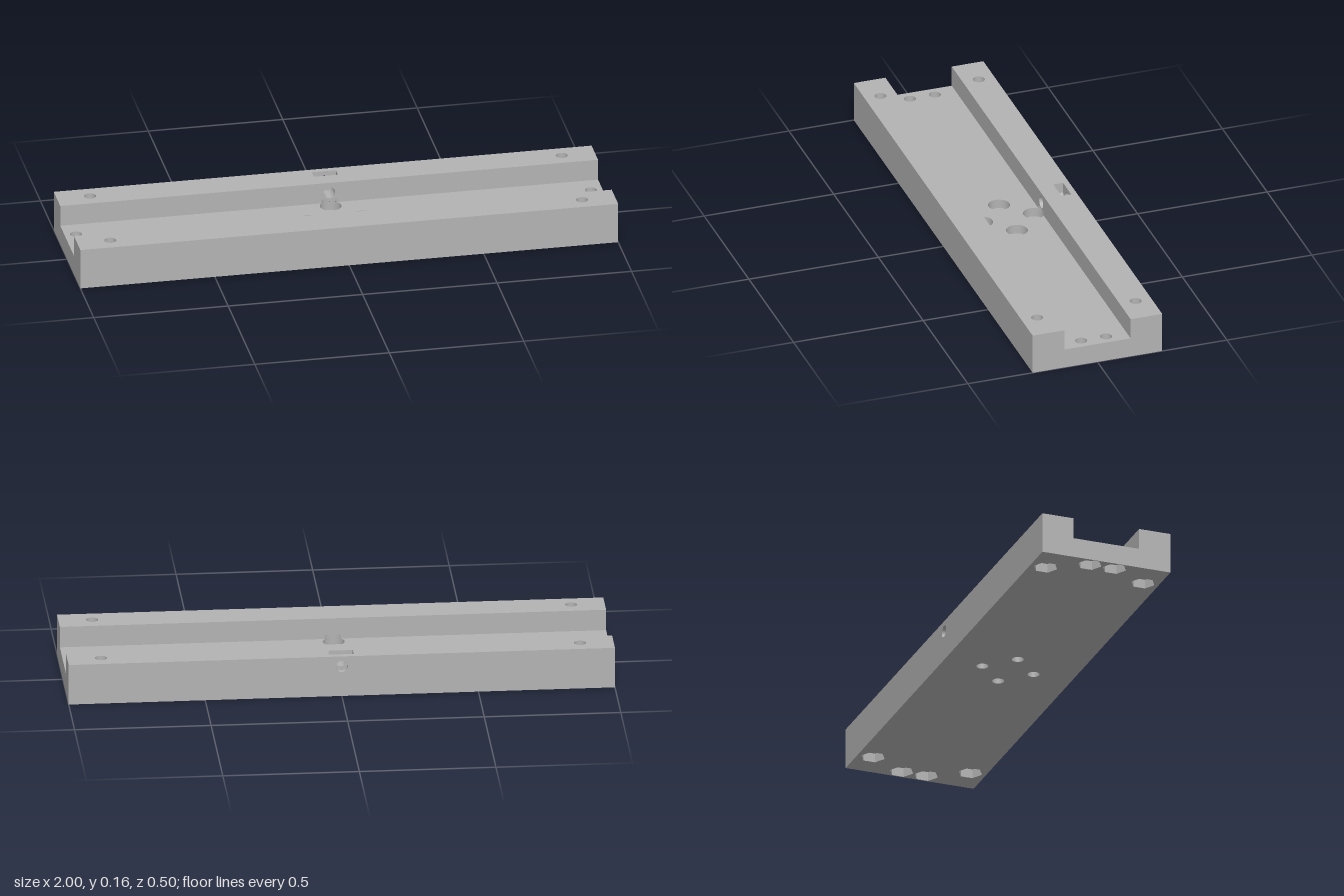
import * as THREE from 'three';
import { mergeGeometries } from 'three/addons/utils/BufferGeometryUtils.js';

// Main sizes
const LEN = 1, HALF = 0.25, INNER = 0.128, TOP = 0.155, FLOOR = 0.075;
const R = 0.022, BORE_R = 0.04, NUT_R = 0.045;
const NUT_Y = 0.035, BORE_Y = 0.04, NOTCH_Y = 0.09;
const SCREW_Y = 0.115, SLOT_BACK = -0.228, SLOT_FRONT = -0.19;
const NOTCH_A = Math.acos((INNER - 0.1) / BORE_R);
const NOTCH_X = BORE_R * Math.sin(NOTCH_A);

// Hole positions [x, z]
const railHoles = [[-0.877, -0.19], [0.877, -0.19], [-0.877, 0.19], [0.877, 0.19]];
const endHoles = [[-0.957, -0.048], [-0.957, 0.048], [0.957, -0.048], [0.957, 0.048]];
const centreHoles = [[-0.1, 0], [0.1, 0], [0, -0.1], [0, 0.1]];
const nutHoles = [...railHoles, ...endHoles];

// Points on an arc; angle 0 points along the second axis
function arc(cx, cy, r, from, to, n) {
  return Array.from({ length: n + 1 }, (_, i) => {
    const t = from + (to - from) * i / n;
    return [cx + r * Math.sin(t), cy + r * Math.cos(t)];
  });
}
const ring = ([x, y], r, n = 32) => arc(x, y, r, 0, Math.PI * 2, n).slice(0, -1);
const rect = (x0, y0, x1, y1) => [[x0, y0], [x1, y0], [x1, y1], [x0, y1]];

// Flat face with holes, in the plane facing +z
function flat(outline, holes = []) {
  const vec = (list) => list.map(([x, y]) => new THREE.Vector2(x, y));
  const shape = new THREE.Shape(vec(outline));
  shape.holes = holes.map((h) => new THREE.Path(vec(h)));
  return new THREE.ShapeGeometry(shape).toNonIndexed();
}
const flip = (list) => list.map(([x, y]) => [x, -y]);
const mirror = (list) => list.map(([x, y]) => [-x, y]);
const up = (o, h, y) => flat(flip(o), (h || []).map(flip)).rotateX(-Math.PI / 2).translate(0, y, 0);
const down = (o, h, y) => flat(o, h).rotateX(Math.PI / 2).translate(0, y, 0);
const front = (o, h, z) => flat(o, h).translate(0, 0, z);
const back = (o, h, z) => flat(mirror(o), (h || []).map(mirror)).rotateY(Math.PI).translate(0, 0, z);

// Inward-facing wall of a vertical hole
function bore([x, z], r, y0, y1, n = 32, start = 0, sweep = Math.PI * 2) {
  let g = new THREE.CylinderGeometry(r, r, y1 - y0, n, 1, true, start, sweep);
  const idx = g.index.array;
  for (let i = 0; i < idx.length; i += 3) [idx[i], idx[i + 1]] = [idx[i + 1], idx[i]];
  const nor = g.attributes.normal;
  for (let i = 0; i < nor.count; i++) nor.setXYZ(i, -nor.getX(i), 0, -nor.getZ(i));
  g = g.toNonIndexed();
  if (n === 6) g.computeVertexNormals();
  return g.translate(x, (y0 + y1) / 2, z);
}

export function createModel() {
  const group = new THREE.Group();
  const grey = new THREE.MeshStandardMaterial({ color: 0xb3b3b3 });
  const add = (name, geos) => {
    const mesh = new THREE.Mesh(mergeGeometries(geos), grey);
    mesh.name = name;
    group.add(mesh);
  };
  const screw = ring([0, SCREW_Y], R);

  // Underside with nut pockets and small centre holes
  add('underside', [down(rect(-LEN, -HALF, LEN, HALF),
    [...nutHoles.map((p) => ring(p, NUT_R, 6)), ...centreHoles.map((p) => ring(p, R))], 0)]);

  // Channel floor, its long edges cut by two of the counterbores
  const floor = [[-LEN, -INNER],
    ...arc(0, -0.1, BORE_R, Math.PI + NOTCH_A, 3 * Math.PI - NOTCH_A, 24),
    [LEN, -INNER], [LEN, INNER],
    ...arc(0, 0.1, BORE_R, NOTCH_A, 2 * Math.PI - NOTCH_A, 24),
    [-LEN, INNER]];
  add('channelFloor', [up(floor, [...endHoles.map((p) => ring(p, R)),
    ...centreHoles.slice(0, 2).map((p) => ring(p, BORE_R))], FLOOR)]);

  // Rail tops, the back one with the nut slot
  add('frontRailTop', [up(rect(-LEN, INNER, LEN, HALF),
    railHoles.slice(2).map((p) => ring(p, R)), TOP)]);
  add('backRailTop', [up(rect(-LEN, -HALF, LEN, -INNER),
    [...railHoles.slice(0, 2).map((p) => ring(p, R)),
      rect(-NUT_R, SLOT_BACK, NUT_R, SLOT_FRONT)], TOP)]);

  // Outer and inner long walls
  const side = rect(-LEN, 0, LEN, TOP);
  add('outerWalls', [front(side, [], HALF), back(side, [screw], -HALF)]);
  const inner = [[-LEN, FLOOR], [-NOTCH_X, FLOOR], [-NOTCH_X, NOTCH_Y], [NOTCH_X, NOTCH_Y],
    [NOTCH_X, FLOOR], [LEN, FLOOR], [LEN, TOP], [-LEN, TOP]];
  add('innerWalls', [front(inner, [screw], -INNER), back(inner, [], INNER)]);

  // U-shaped ends
  const profile = [[-HALF, 0], [HALF, 0], [HALF, TOP], [INNER, TOP],
    [INNER, FLOOR], [-INNER, FLOOR], [-INNER, TOP], [-HALF, TOP]];
  add('endFaces', [1, -1].map((s) =>
    flat(profile).rotateY(s * Math.PI / 2).translate(s * LEN, 0, 0)));

  // Bolt holes with hexagonal nut pockets underneath
  add('boltHoles', nutHoles.flatMap((p, i) => [
    bore(p, R, NUT_Y, i < 4 ? TOP : FLOOR),
    bore(p, NUT_R, 0, NUT_Y, 6),
    down(ring(p, NUT_R, 6), [ring(p, R)], NUT_Y)]));

  // Centre holes with counterbores from above
  add('centreHoles', centreHoles.flatMap((p) => [
    bore(p, R, 0, BORE_Y),
    bore(p, BORE_R, BORE_Y, FLOOR),
    up(ring(p, BORE_R), [ring(p, R)], BORE_Y)]));

  // Notches the counterbores leave at the foot of the rails
  add('railNotches', [[-0.1, Math.PI], [0.1, 0]].flatMap(([z, mid]) => [
    bore([0, z], BORE_R, FLOOR, NOTCH_Y, 12, mid - NOTCH_A, 2 * NOTCH_A),
    down(arc(0, z, BORE_R, mid - NOTCH_A, mid + NOTCH_A, 12), [], NOTCH_Y)]));

  // Nut slot in the back rail: half hexagon below, straight above
  const drop = NUT_R * Math.sqrt(3) / 2;
  const slot = [[-NUT_R, TOP], [-NUT_R, SCREW_Y], [-NUT_R / 2, SCREW_Y - drop],
    [NUT_R / 2, SCREW_Y - drop], [NUT_R, SCREW_Y], [NUT_R, TOP]];
  const pos = [];
  for (let i = 0; i < slot.length - 1; i++) {
    const a = slot[i], b = slot[i + 1];
    pos.push(...a, SLOT_BACK, ...a, SLOT_FRONT, ...b, SLOT_FRONT);
    pos.push(...a, SLOT_BACK, ...b, SLOT_FRONT, ...b, SLOT_BACK);
  }
  const slotWalls = new THREE.BufferGeometry();
  slotWalls.setAttribute('position', new THREE.Float32BufferAttribute(pos, 3));
  slotWalls.setAttribute('uv', new THREE.Float32BufferAttribute(new Array(pos.length / 3 * 2).fill(0), 2));
  slotWalls.computeVertexNormals();
  add('nutSlot', [slotWalls, front(slot, [screw], SLOT_BACK), back(slot, [screw], SLOT_FRONT)]);

  // Horizontal screw hole on both sides of the slot
  add('screwHole', [[-HALF, SLOT_BACK], [SLOT_FRONT, -INNER]].map(([z0, z1]) =>
    bore([0, 0], R, z0, z1).rotateX(Math.PI / 2).translate(0, SCREW_Y, 0)));

  return group;
}
